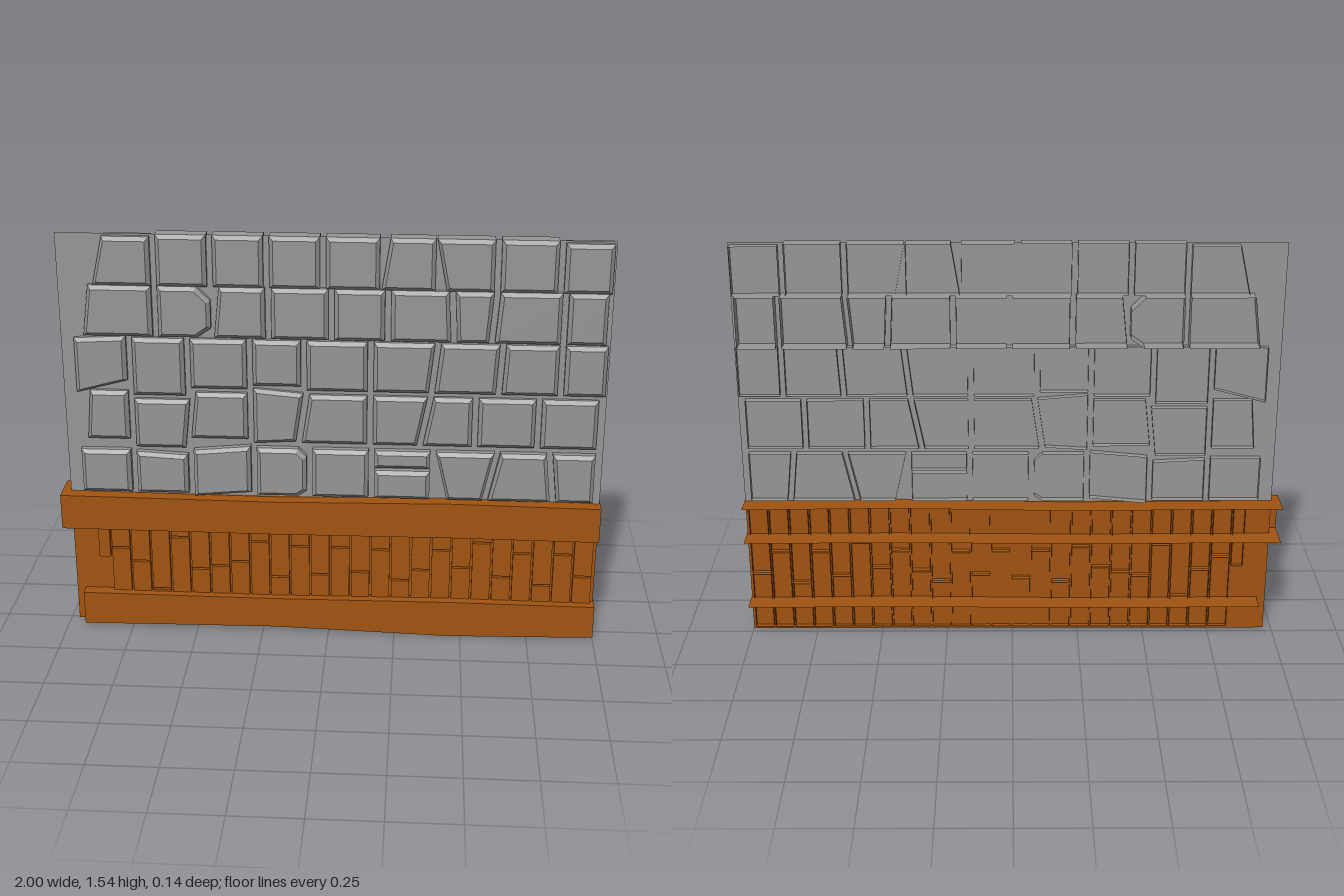
import * as THREE from 'three';

const stoneMat = new THREE.MeshStandardMaterial({ color: 0x969696, flatShading: true, side: THREE.DoubleSide });
const woodMat = new THREE.MeshStandardMaterial({ color: 0xa15410, flatShading: true, side: THREE.DoubleSide });
const SHEET_Z = 0.018;
const HALF_GAP = 0.011;

function mesh(name, geometry, material) {
  const m = new THREE.Mesh(geometry, material);
  m.name = name;
  return m;
}

function facetedGeometry(pos, idx) {
  const g = new THREE.BufferGeometry();
  g.setAttribute('position', new THREE.Float32BufferAttribute(pos, 3));
  g.setIndex(idx);
  const flat = g.toNonIndexed();
  flat.computeVertexNormals();
  return flat;
}

// Open-backed prism on an anticlockwise outline, with a chamfered front edge
function stoneGeometry(pts, back, front) {
  const n = pts.length;
  const xs = pts.map(p => p[0]), ys = pts.map(p => p[1]);
  const x0 = Math.min(...xs), x1 = Math.max(...xs), y0 = Math.min(...ys), y1 = Math.max(...ys);
  const cx = (x0 + x1) / 2, cy = (y0 + y1) / 2;
  const bevel = Math.min(0.014, (y1 - y0) * 0.2);
  const sx = 1 - 2 * bevel / (x1 - x0), sy = 1 - 2 * bevel / (y1 - y0);
  const pos = [], idx = [];
  for (const [z, kx, ky] of [[back, 1, 1], [front - 0.014, 1, 1], [front, sx, sy]])
    for (const [x, y] of pts) pos.push(cx + (x - cx) * kx, cy + (y - cy) * ky, z);
  for (let r = 0; r < 2; r++)
    for (let i = 0; i < n; i++) {
      const a = r * n + i, b = r * n + (i + 1) % n;
      idx.push(a, b, b + n, a, b + n, a + n);
    }
  for (let i = 1; i < n - 1; i++) idx.push(2 * n, 2 * n + i, 2 * n + i + 1);
  return facetedGeometry(pos, idx);
}

// One course: stones fill the spaces between joints. slants leans a joint, tweaks adjusts a stone:
// drop/lift move its bottom/top, tilt/rise slope its bottom/top, lean slants its left edge only,
// chop cuts its right corners, split halves it.
function buildCourse(bottom, back, front, joints, slants, tweaks) {
  const course = new THREE.Group();
  course.name = 'stoneCourse';
  for (let i = 0; i < joints.length - 1; i++) {
    const { drop = 0, lift = 0, tilt = 0, rise = 0, lean = 0, chop = 0, split = false } = tweaks[i] ?? {};
    const y0 = bottom + drop, y1 = bottom + 0.188 + lift;
    const l = joints[i] + HALF_GAP, r = joints[i + 1] - HALF_GAP - (split ? 0.02 : 0);
    const ls = (slants[i] ?? 0) + lean, rs = split ? 0 : slants[i + 1] ?? 0;
    const spans = split ? [[y0, y0 + 0.11], [y0 + 0.122, y1]] : [[y0, y1]];
    for (const [a, b] of spans) {
      const right = chop
        ? [[r - chop, a], [r, a + chop * 0.7], [r, b - chop], [r - chop, b]]
        : [[r - rs, a + tilt], [r + rs, b + rise]];
      const outline = [[l - ls, a - tilt], ...right, [l + ls, b - rise]];
      course.add(mesh('stone', stoneGeometry(outline, back, front), stoneMat));
    }
  }
  return course;
}

// Thin folded board: a [z, y, sag] section swept along x with a slight warp
function railGeometry(xStart, section) {
  const warp = [[-1, 0], [-0.6, -0.003], [-0.2, -0.006], [0.1, 0], [0.45, 0.007], [0.75, 0.003], [1, -0.001]];
  const pos = [], idx = [], n = section.length;
  warp.forEach(([x, w], s) => {
    for (const [z, y, k] of section) pos.push(Math.max(x, xStart), y + w * k, z + Math.sign(z) * w * 0.4);
    if (s === 0) return;
    for (let i = 0; i < n - 1; i++) {
      const a = (s - 1) * n + i, b = s * n + i;
      idx.push(a, b + 1, b, a, a + 1, b + 1);
    }
  });
  return facetedGeometry(pos, idx);
}

function sheet(name, y0, y1, material) {
  const m = mesh(name, new THREE.PlaneGeometry(1.965, y1 - y0), material);
  m.position.set(0.0145, (y0 + y1) / 2, SHEET_Z);
  return m;
}

// Open-backed board between two x and two y positions
function plank(x0, x1, y0, y1) {
  const g = new THREE.BoxGeometry(x1 - x0, y1 - y0, 0.034);
  g.setIndex([...g.index.array.slice(0, 30)]);
  const p = mesh('plank', g, woodMat);
  p.position.set((x0 + x1) / 2, (y0 + y1) / 2, 0.017);
  return p;
}

export function createModel() {
  const wall = new THREE.Group();
  wall.name = 'wallPanel';

  // Backing sheets
  wall.add(sheet('mortarSheet', 0.545, 1.54, stoneMat));
  wall.add(sheet('woodSheet', 0.005, 0.545, woodMat));

  // Stone courses, top to bottom
  wall.add(buildCourse(1.355, -0.018, 0.048,
    [-0.83, -0.62, -0.42, -0.22, -0.02, 0.19, 0.385, 0.59, 0.81, 1],
    { 0: 0.02 }, { 0: { lift: -0.01 }, 5: { lean: 0.015 }, 6: { lean: -0.018 }, 8: { lift: -0.01 } }));
  wall.add(buildCourse(1.167, -0.045, 0.05,
    [-0.88, -0.62, -0.41, -0.215, 0.01, 0.21, 0.44, 0.585, 0.83, 0.99],
    { 0: 0.012, 2: 0.01, 6: -0.005, 7: 0.007 }, { 1: { chop: 0.05 } }));
  wall.add(buildCourse(0.972, -0.005, 0.046,
    [-0.93, -0.72, -0.51, -0.285, -0.09, 0.15, 0.38, 0.615, 0.83, 1],
    { 6: 0.01, 7: 0.005 },
    { 0: { tilt: 0.025, rise: 0.005 }, 1: { drop: -0.03 }, 3: { drop: 0.015 } }));
  wall.add(buildCourse(0.767, -0.008, 0.045,
    [-0.89, -0.72, -0.505, -0.285, -0.095, 0.15, 0.35, 0.53, 0.757, 0.98],
    { 0: 0.008, 2: 0.01, 4: 0.014, 6: 0.018 },
    { 1: { drop: -0.03, lift: -0.03 }, 2: { drop: 0.01 }, 3: { lift: 0.012, rise: -0.008, tilt: 0.005 } }));
  wall.add(buildCourse(0.558, -0.01, 0.055,
    [-0.925, -0.72, -0.508, -0.275, -0.07, 0.157, 0.402, 0.595, 0.814, 0.98],
    { 6: -0.022, 7: 0.02, 8: -0.01 },
    { 0: { lift: -0.02 }, 1: { lift: -0.03, rise: -0.005 }, 2: { rise: 0.01, tilt: 0.01, lift: -0.005 },
      3: { chop: 0.03 }, 5: { split: true } }));

  // Upright planks, each column cut once at its own height
  const planks = new THREE.Group();
  planks.name = 'planks';
  const cuts = [0.32, 0.265, 0.15, 0.37, 0.24, 0.255, 0.275, 0.36, 0.215, 0.345, 0.23, 0.345,
    0.245, 0.34, 0.215, 0.26, 0.345, 0.275, 0.38, 0.24, 0.34, 0.21, 0.34, 0.25];
  const gap = 0.007, left = -0.826, pitch = (0.988 - left) / cuts.length;
  planks.add(plank(-0.872, left - gap / 2, 0.28, 0.54));
  cuts.forEach((cut, i) => {
    const x0 = left + i * pitch + gap / 2, x1 = x0 + pitch - gap;
    planks.add(plank(x0, x1, 0.022, cut - gap / 2), plank(x0, x1, cut + gap / 2, 0.54));
  });
  wall.add(planks);

  // Upper channel rail and lower angle rail
  wall.add(mesh('upperRail', railGeometry(-1,
    [[-0.066, 0.548, 1], [0.066, 0.545, 1], [0.066, 0.41, 0.5], [-0.066, 0.41, 0.5]]), woodMat));
  wall.add(mesh('lowerRail', railGeometry(-0.935,
    [[-0.066, 0.14, 0.6], [0.066, 0.14, 0.6], [0.066, 0.009, -1.2]]), woodMat));

  return wall;
}
